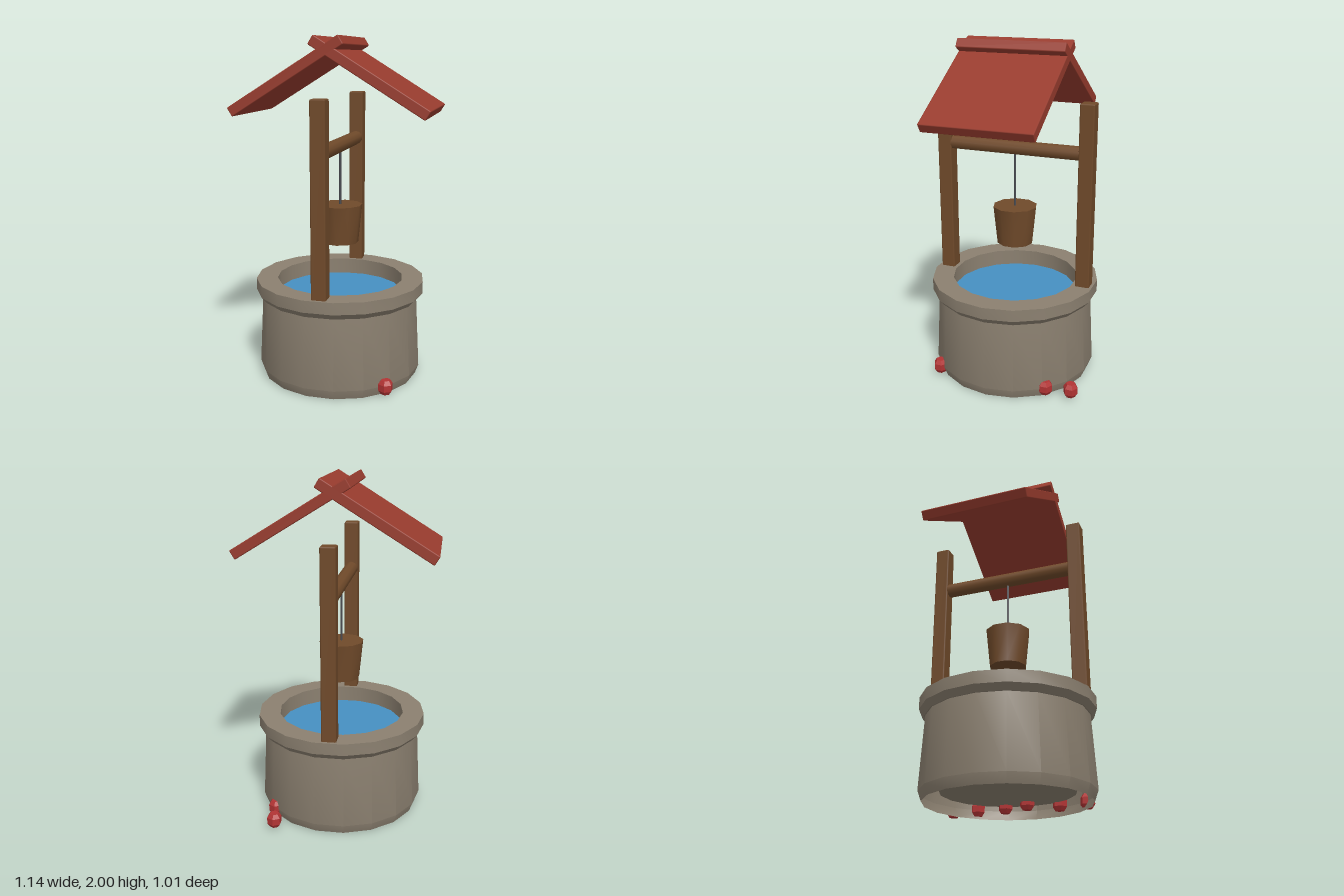
import * as THREE from 'three';
import { RoundedBoxGeometry } from 'three/addons/geometries/RoundedBoxGeometry.js';
import { toCreasedNormals } from 'three/addons/utils/BufferGeometryUtils.js';

const mat = (name, color, side = THREE.FrontSide) =>
  Object.assign(new THREE.MeshStandardMaterial({ color, side }), { name });

export function createModel() {
  const stone = mat('stone', 0x8b8070, THREE.DoubleSide);
  const wood = mat('wood', 0x704a2a);
  const roofRed = mat('roof red', 0x983c2e);
  const water = mat('water', 0x4690c2, THREE.DoubleSide);
  const rope = mat('rope grey', 0x4a4c52);
  const berry = mat('berry red', 0xb23434);

  const CZ = 0.007; // the well sits slightly forward of the centre
  const group = new THREE.Group();
  group.name = 'well';
  const add = (name, geometry, material, x, y, z) => {
    const mesh = new THREE.Mesh(geometry, material);
    mesh.name = name;
    mesh.position.set(x, y, z);
    group.add(mesh);
    return mesh;
  };
  const lathe = (points, sides, start = 0) =>
    new THREE.LatheGeometry(points.map(([r, y]) => new THREE.Vector2(r, y)), sides, start);

  // Stone wall: outside, rim, inside and floor in one open-bottomed shell
  const wall = lathe([
    [0.47, 0], [0.49, 0.055], [0.468, 0.475], [0.475, 0.475], [0.505, 0.51],
    [0.505, 0.58], [0.378, 0.58], [0.378, 0.06], [0, 0.06],
  ], 18, Math.PI / 18);
  add('stoneWall', toCreasedNormals(wall, 0.4), stone, 0, 0, CZ);

  // Water surface
  const pool = new THREE.CircleGeometry(0.376, 18);
  pool.rotateX(-Math.PI / 2);
  add('water', pool, water, 0, 0.485, CZ);

  // Posts and the beam between them
  for (const [side, name] of [[1, 'frontPost'], [-1, 'backPost']]) {
    add(name, new RoundedBoxGeometry(0.086, 1.1, 0.086, 1, 0.008), wood, 0, 1.12, CZ + side * 0.427 + side * 0.011);
  }
  const beam = new THREE.CylinderGeometry(0.042, 0.042, 0.8, 10);
  beam.rotateX(Math.PI / 2);
  add('beam', beam, wood, 0, 1.38, CZ);

  // Rope and bucket
  add('rope', new THREE.CylinderGeometry(0.007, 0.007, 0.36, 6), rope, 0, 1.19, CZ);
  const bucket = new THREE.CylinderGeometry(0.1325, 0.109, 0.23, 10);
  add('bucket', toCreasedNormals(bucket, 0.7), wood, 0, 0.91, CZ);

  // Two roof slabs crossing at the ridge
  for (const [side, name] of [[-1, 'rightRoof'], [1, 'leftRoof']]) {
    const slab = add(name, new RoundedBoxGeometry(0.752, 0.058, 0.645, 1, 0.006), roofRed, side * 0.236, 1.778, CZ);
    slab.rotation.z = -side * 0.552;
  }

  // Row of faceted berries along the left side of the base
  const berryShape = toCreasedNormals(lathe([
    [0, -0.042], [0.027, -0.042], [0.043, -0.019], [0.043, 0.019], [0.027, 0.042], [0, 0.042],
  ], 6), 0.3);
  const spots = [[0.325, -0.465], [0.35, -0.318], [0.32, -0.13], [0.27, 0.022], [0.36, 0.19], [0.355, 0.357]];
  spots.forEach(([x, z], i) => add(`berry${i + 1}`, berryShape, berry, x, 0.058, z));

  return group;
}
